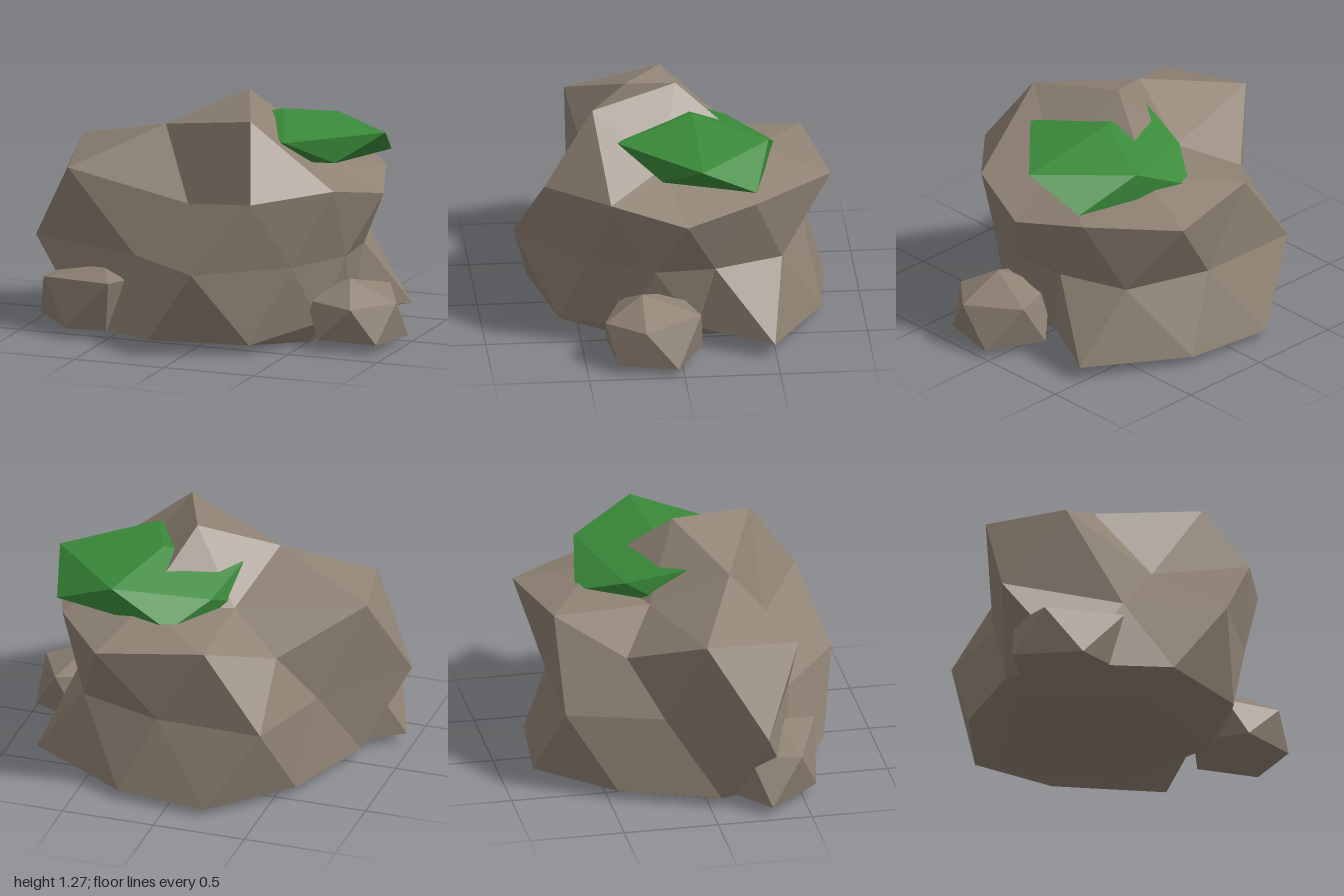
import * as THREE from 'three';

const rock = new THREE.MeshStandardMaterial({ color: 0x8f8274, flatShading: true });
const moss = new THREE.MeshStandardMaterial({ color: 0x3a8a3a, flatShading: true });

// Builds a flat-shaded mesh from triangles given as triples of [x, y, z] corners
function facetMesh(name, triangles, material) {
  const geometry = new THREE.BufferGeometry();
  geometry.setAttribute('position', new THREE.Float32BufferAttribute(triangles.flat(2), 3));
  geometry.computeVertexNormals();
  const mesh = new THREE.Mesh(geometry, material);
  mesh.name = name;
  return mesh;
}

const at = (ring, i) => ring[(i + ring.length) % ring.length];

// Zigzag band: each lower point sits between upper points i and i + 1
function band(upper, lower) {
  return upper.flatMap((p, i) => [
    [p, lower[i], at(upper, i + 1)],
    [at(upper, i + 1), lower[i], at(lower, i + 1)],
  ]);
}

// Cap of a subdivided icosahedron: a pole, five points, then a ring of ten.
// 'offset' is the ring index that lines up with the first of the five.
function cap(pole, five, ten, offset, flip) {
  const tris = [];
  five.forEach((p, i) => {
    const k = 2 * i + offset;
    const q = at(five, i + 1);
    tris.push([pole, p, q], [p, at(ten, k - 1), at(ten, k)],
      [p, at(ten, k), at(ten, k + 1)], [p, at(ten, k + 1), q]);
  });
  return flip ? tris.map(([a, b, c]) => [a, c, b]) : tris;
}

// Distorted twelve-point icosahedron
function lump(name, top, upper, lower, bottom, material) {
  const tris = band(upper, lower);
  upper.forEach((p, i) => tris.push([top, p, at(upper, i + 1)]));
  lower.forEach((p, i) => tris.push([bottom, at(lower, i + 1), p]));
  return facetMesh(name, tris, material);
}

function boulder() {
  // Rings run counter-clockwise from the front, seen from above
  const crown = [[0.26, 1.21, 0.42], [0.45, 0.95, 0.07], [0.25, 0.96, -0.42],
    [-0.18, 0.91, -0.2], [-0.3, 1.1, 0.2]];
  const shoulder = [[0.36, 0.83, 0.68], [0.7, 0.86, 0.36], [0.83, 0.775, -0.03],
    [0.7, 0.84, -0.4], [0.38, 0.86, -0.82], [-0.18, 0.89, -0.71],
    [-0.47, 0.75, -0.38], [-0.85, 0.95, -0.03], [-0.74, 0.89, 0.48], [-0.09, 0.74, 0.42]];
  const waist = [[0.51, 0.47], [0.68, 0.13], [0.66, -0.19], [0.53, -0.55], [0.08, -0.7],
    [-0.49, -0.71], [-0.64, -0.21], [-1, 0.27], [-0.36, 0.5], [0.08, 0.82]]
    .map(([x, z]) => [x, 0.46, z]);
  const foot = [[0.32, 0.055, 0.6], [0.58, 0.12, 0.25], [0.62, 0.11, -0.1],
    [0.81, 0.08, -0.49], [0.27, 0.05, -0.78], [-0.22, 0.04, -0.83],
    [-0.6, 0.05, -0.45], [-0.79, 0.05, 0.06], [-0.65, 0.04, 0.45], [-0.2, 0.065, 0.72]];
  const base = [[0.5, 0.2], [0.45, -0.4], [-0.15, -0.72], [-0.66, 0], [-0.1, 0.44]]
    .map(([x, z]) => [x, 0, z]);
  const footFromWaist = [...foot.slice(1), foot[0]];
  return facetMesh('boulder', [
    ...cap([0.08, 1.27, -0.03], crown, shoulder, 0, false),
    ...band(shoulder, waist),
    ...band(waist, footFromWaist),
    ...cap([0, 0, 0], base, foot, 1, true),
  ], rock);
}

export function createModel() {
  const group = new THREE.Group();
  group.name = 'mossyRocks';
  group.add(boulder());

  // Flat clump of moss on the back left shoulder
  group.add(lump('mossClump', [0.24, 1.16, -0.11],
    [[0.4, 1.08, 0.3], [0.81, 1.08, -0.11], [0.4, 1.07, -0.49], [-0.09, 1.0, -0.31], [-0.16, 1.08, 0]],
    [[0.6, 0.94, 0.08], [0.73, 0.92, -0.4], [0.07, 0.91, -0.55], [-0.16, 0.92, -0.15], [0.1, 0.93, 0.13]],
    [0.33, 0.9, -0.15], moss));

  // Small stones at the foot
  group.add(lump('leftStone', [0.73, 0.36, 0.2],
    [[0.81, 0.24, 0.4], [0.99, 0.25, 0.2], [0.84, 0.28, -0.1], [0.55, 0.28, 0], [0.53, 0.25, 0.3]],
    [[0.93, 0.05, 0.34], [0.99, 0.04, 0.03], [0.7, 0.05, -0.12], [0.48, 0.07, 0.1], [0.62, 0.06, 0.38]],
    [0.72, 0, 0.15], rock));
  group.add(lump('rightStone', [-0.57, 0.37, 0.4],
    [[-0.46, 0.32, 0.62], [-0.38, 0.32, 0.45], [-0.6, 0.33, 0.2], [-0.85, 0.3, 0.2], [-0.88, 0.29, 0.47]],
    [[-0.5, 0.05, 0.55], [-0.45, 0.05, 0.3], [-0.7, 0.05, 0.1], [-0.96, 0.05, 0.3], [-0.71, 0.05, 0.58]],
    [-0.65, 0, 0.35], rock));
  return group;
}
